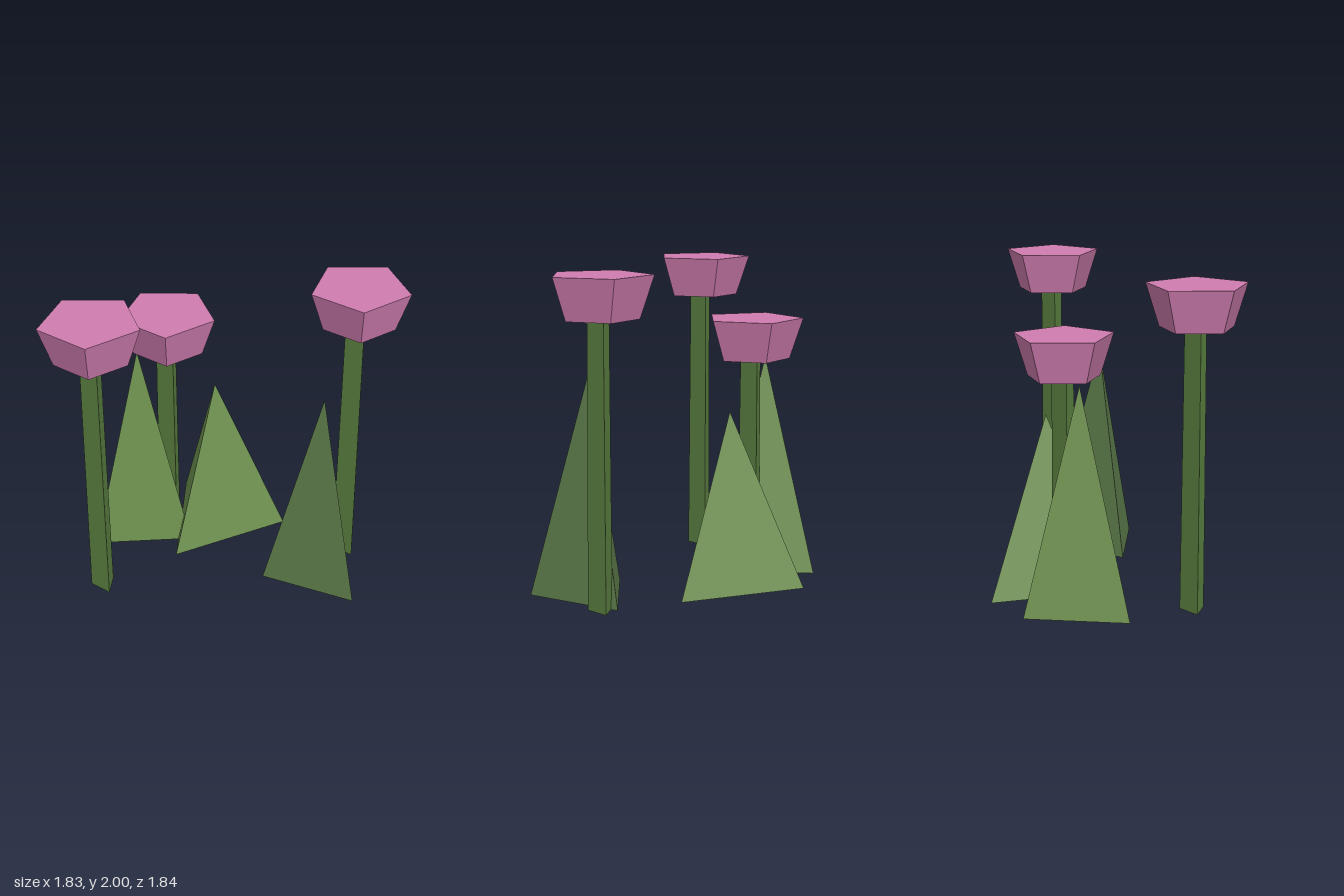
import * as THREE from 'three';

const material = (color) => new THREE.MeshStandardMaterial({ color, flatShading: true, side: THREE.DoubleSide });

export function createModel() {
  const model = new THREE.Group();
  const stemMaterial = material(0x5b8040);
  const petalMaterial = material(0xd07db0);
  const leafMaterial = material(0x6f9250);
  const darkLeafMaterial = material(0x5a7848);

  const add = (parent, name, geometry, mat, x, y, z) => {
    const mesh = new THREE.Mesh(geometry, mat);
    mesh.name = name;
    mesh.position.set(x, y, z);
    parent.add(mesh);
  };

  // Flowers: three-sided stem under a flared five-sided bloom, one corner towards +x
  const bloomHeight = 0.255;
  const flowers = [
    ['rightFlower', -0.662, -0.477, 1.73],
    ['middleFlower', 0.135, -0.54, 1.402],
    ['leftFlower', 0.602, 0.58, 1.745],
  ];
  for (const [name, x, z, stemHeight] of flowers) {
    const flower = new THREE.Group();
    flower.name = name;
    flower.position.set(x, 0, z);
    add(flower, 'stem', new THREE.CylinderGeometry(0.077, 0.087, stemHeight, 3, 1, true, Math.PI / 2),
      stemMaterial, 0, stemHeight / 2, 0);
    add(flower, 'bloom', new THREE.CylinderGeometry(0.315, 0.231, bloomHeight, 5, 1, false, Math.PI / 2),
      petalMaterial, 0, stemHeight + bloomHeight / 2, 0);
    model.add(flower);
  }

  // Leaves: open-based three-sided pyramids, each turned differently
  const leaves = [
    ['backLeaf', -0.01, -0.682, 0.37, 1.39, 0.19, leafMaterial],
    ['wideLeaf', 0.333, -0.317, 0.473, 1.108, 0.575, leafMaterial],
    ['frontLeaf', 0.27, 0.57, 0.362, 1.36, 1.795, darkLeafMaterial],
  ];
  for (const [name, x, z, radius, height, turn, mat] of leaves) {
    add(model, name, new THREE.ConeGeometry(radius, height, 3, 1, true, turn), mat, x, height / 2, z);
  }

  return model;
}
